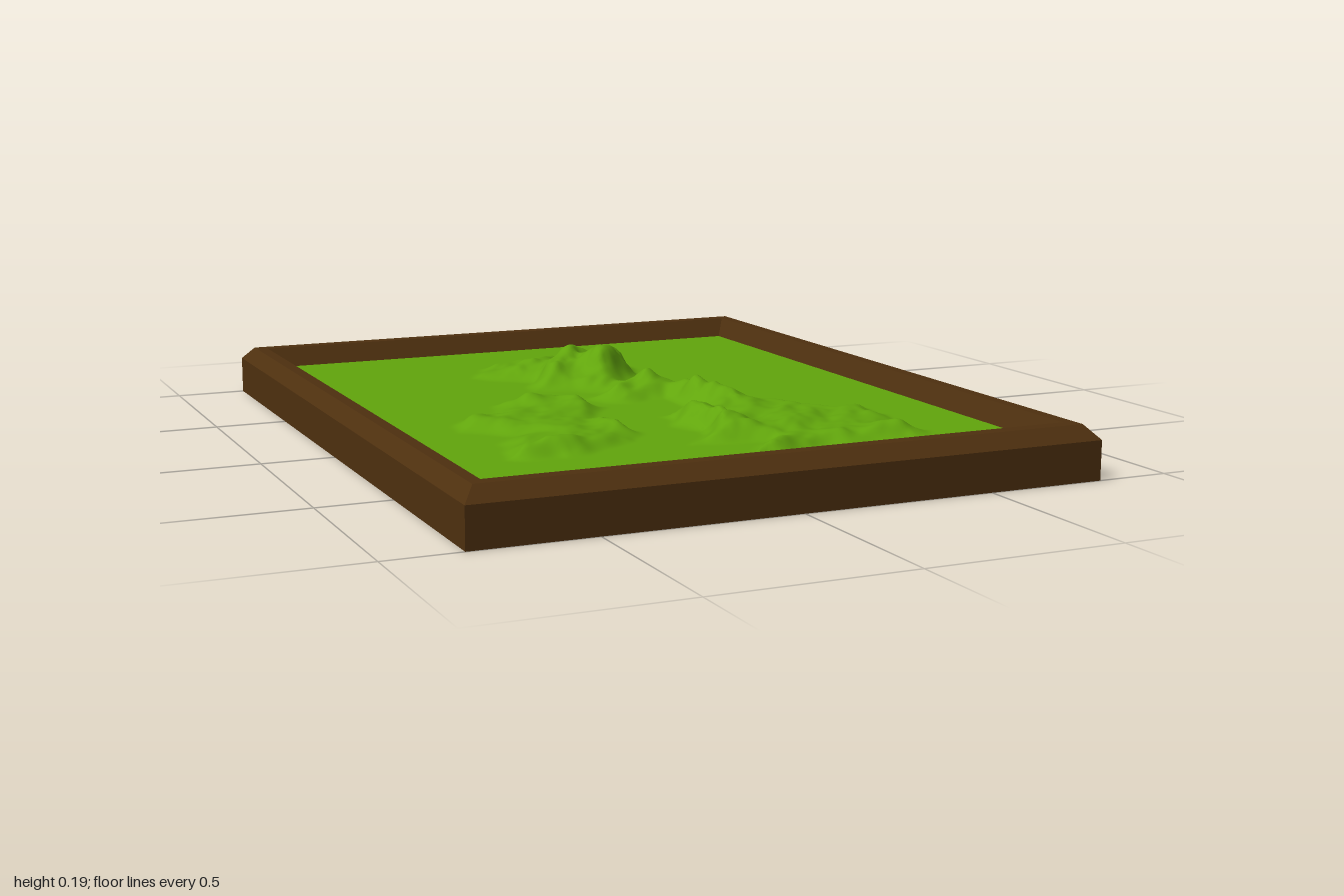
import * as THREE from 'three';

const HX = 0.81, HZ = 1, SEA = 0.083;

// Coastlines as x, z pairs
const eastIsland = [
  0.13, -0.75, 0.06, -0.56, 0.22, -0.47, 0.18, -0.32, 0.1, -0.21, 0.21, -0.18, 0.3, 0.04, 0.37, 0.18,
  0.42, 0.34, 0.52, 0.33, 0.55, 0.44, 0.46, 0.6, 0.52, 0.66, 0.45, 0.73, 0.3, 0.72, 0.15, 0.75,
  0.03, 0.79, -0.11, 0.86, 0, 0.72, 0.1, 0.64, -0.09, 0.58, -0.02, 0.5, 0.03, 0.44, -0.02, 0.38,
  0, 0.23, 0.12, 0.21, 0.12, 0.02, -0.05, 0.02, -0.07, -0.07, 0, -0.15, -0.18, -0.23, -0.13, -0.36,
  -0.27, -0.5, -0.18, -0.62, 0, -0.68,
];
const westIsland = [
  -0.28, -0.1, -0.16, -0.12, -0.1, 0.08, -0.18, 0.2, -0.14, 0.38, -0.2, 0.48, -0.42, 0.6, -0.54, 0.57,
  -0.5, 0.4, -0.42, 0.32, -0.54, 0.22, -0.5, 0.08, -0.4, 0.06, -0.35, -0.06,
];

// Hills: x, z, height, radius across, radius along, turn
const hills = [
  [0.08, -0.36, 0.085, 0.07, 0.1, -0.7], [0, -0.42, 0.055, 0.06, 0.1, -0.6],
  [-0.08, -0.32, 0.045, 0.04, 0.07, -0.6], [0.05, -0.26, 0.025, 0.05, 0.08, -0.8],
  [-0.08, -0.5, 0.025, 0.05, 0.09, -0.6], [0.06, -0.62, 0.018, 0.03, 0.09, -0.5],
  [0.1, -0.1, 0.035, 0.06, 0.07, -0.8], [0, -0.04, 0.022, 0.05, 0.06, 0],
  [0.18, 0.05, 0.05, 0.05, 0.12, 0.2], [0.23, 0.2, 0.02, 0.05, 0.1, 0.2],
  [0.05, 0.33, 0.04, 0.05, 0.07, 0.3], [0.06, 0.47, 0.045, 0.06, 0.09, 0.2], [0, 0.55, 0.02, 0.05, 0.04, 0],
  [0.25, 0.48, 0.012, 0.06, 0.16, -0.6], [0.4, 0.66, 0.014, 0.05, 0.15, -1.4],
  [0.05, 0.74, 0.022, 0.04, 0.09, -0.9], [-0.17, 0.33, 0.028, 0.03, 0.09, 0],
  [-0.15, 0.05, 0.018, 0.04, 0.09, 0], [-0.43, 0.53, 0.026, 0.05, 0.12, -1.2],
  [-0.28, -0.04, 0.016, 0.05, 0.06, -0.7], [-0.48, 0.17, 0.014, 0.05, 0.06, 0.4],
];

// Signed distance to a coastline, positive on land
function inland(c, x, z) {
  let best = Infinity, inside = false;
  for (let i = 0, j = c.length - 2; i < c.length; j = i, i += 2) {
    const ax = c[j], az = c[j + 1], bx = c[i], bz = c[i + 1], dx = bx - ax, dz = bz - az;
    const t = THREE.MathUtils.clamp(((x - ax) * dx + (z - az) * dz) / (dx * dx + dz * dz), 0, 1);
    best = Math.min(best, Math.hypot(x - ax - t * dx, z - az - t * dz));
    if ((az > z) !== (bz > z) && x < ax + (z - az) / dz * dx) inside = !inside;
  }
  return inside ? best : -best;
}

// Smooth value noise in 0..1
function hash(i, j) {
  const s = Math.sin(i * 127.1 + j * 311.7) * 43758.5453;
  return s - Math.floor(s);
}
function noise(x, z) {
  const i = Math.floor(x), j = Math.floor(z);
  const u = THREE.MathUtils.smoothstep(x - i, 0, 1), v = THREE.MathUtils.smoothstep(z - j, 0, 1);
  const { lerp } = THREE.MathUtils;
  return lerp(lerp(hash(i, j), hash(i + 1, j), u), lerp(hash(i, j + 1), hash(i + 1, j + 1), u), v);
}

function landHeight(x, z) {
  // Wobble the coast so it looks natural
  const wx = x + 0.04 * (noise(x * 14, z * 14) - 0.5), wz = z + 0.04 * (noise(x * 14 + 40, z * 14) - 0.5);
  const d = Math.max(inland(eastIsland, wx, wz), inland(westIsland, wx, wz));
  const shore = THREE.MathUtils.smoothstep(d, -0.015, 0.06);
  if (shore === 0) return 0;
  let h = 0.016;
  for (const [hx, hz, top, across, along, turn] of hills) {
    const dx = x - hx, dz = z - hz, c = Math.cos(turn), s = Math.sin(turn);
    const a = (dx * c - dz * s) / across, b = (dx * s + dz * c) / along;
    h += top * 0.8 * Math.exp(-a * a - b * b);
  }
  // Valleys run diagonally
  const a = x + z, b = z - x;
  h *= 0.62 + 0.5 * noise(a * 17, b * 9) + 0.26 * noise(a * 34 + 9, b * 22);
  return shore * (h + 0.006 * noise(a * 20 + 5, b * 12));
}

function makeRelief() {
  const geo = new THREE.PlaneGeometry(1.46, 1.8, 144, 178).rotateX(-Math.PI / 2);
  const p = geo.attributes.position;
  for (let i = 0; i < p.count; i++) p.setY(i, SEA + landHeight(p.getX(i), p.getZ(i)));
  geo.computeVertexNormals();
  return geo;
}

// Mitred frame: a profile carried round the four corners
function makeFrame() {
  const profile = [[0, 0], [0, 0.1], [0.035, 0.135], [0.07, 0.135], [0.1, SEA], [0.11, SEA - 0.01]];
  const corners = [[-1, 1], [1, 1], [1, -1], [-1, -1]];
  const at = (k, [inset, y]) => {
    const [sx, sz] = corners[k % 4];
    return [sx * (HX - inset * 0.88), y, sz * (HZ - inset * 1.06)];
  };
  const verts = [];
  for (let k = 0; k < 4; k++) {
    for (let i = 0; i < profile.length - 1; i++) {
      const a = at(k, profile[i]), b = at(k + 1, profile[i]);
      const c = at(k + 1, profile[i + 1]), d = at(k, profile[i + 1]);
      verts.push(...a, ...b, ...c, ...a, ...c, ...d);
    }
  }
  const geo = new THREE.BufferGeometry();
  geo.setAttribute('position', new THREE.Float32BufferAttribute(verts, 3));
  geo.computeVertexNormals();
  return geo;
}

export function createModel() {
  const group = new THREE.Group();
  group.name = 'framedReliefMap';
  const wood = new THREE.MeshStandardMaterial({ color: 0x4e300f });
  const grass = new THREE.MeshStandardMaterial({ color: 0x62a60c });
  const add = (name, geo, mat) => {
    const mesh = new THREE.Mesh(geo, mat);
    mesh.name = name;
    group.add(mesh);
  };
  add('frame', makeFrame(), wood);
  add('backPanel', new THREE.PlaneGeometry(HX * 2, HZ * 2).rotateX(Math.PI / 2), wood);
  add('reliefMap', makeRelief(), grass);
  return group;
}
